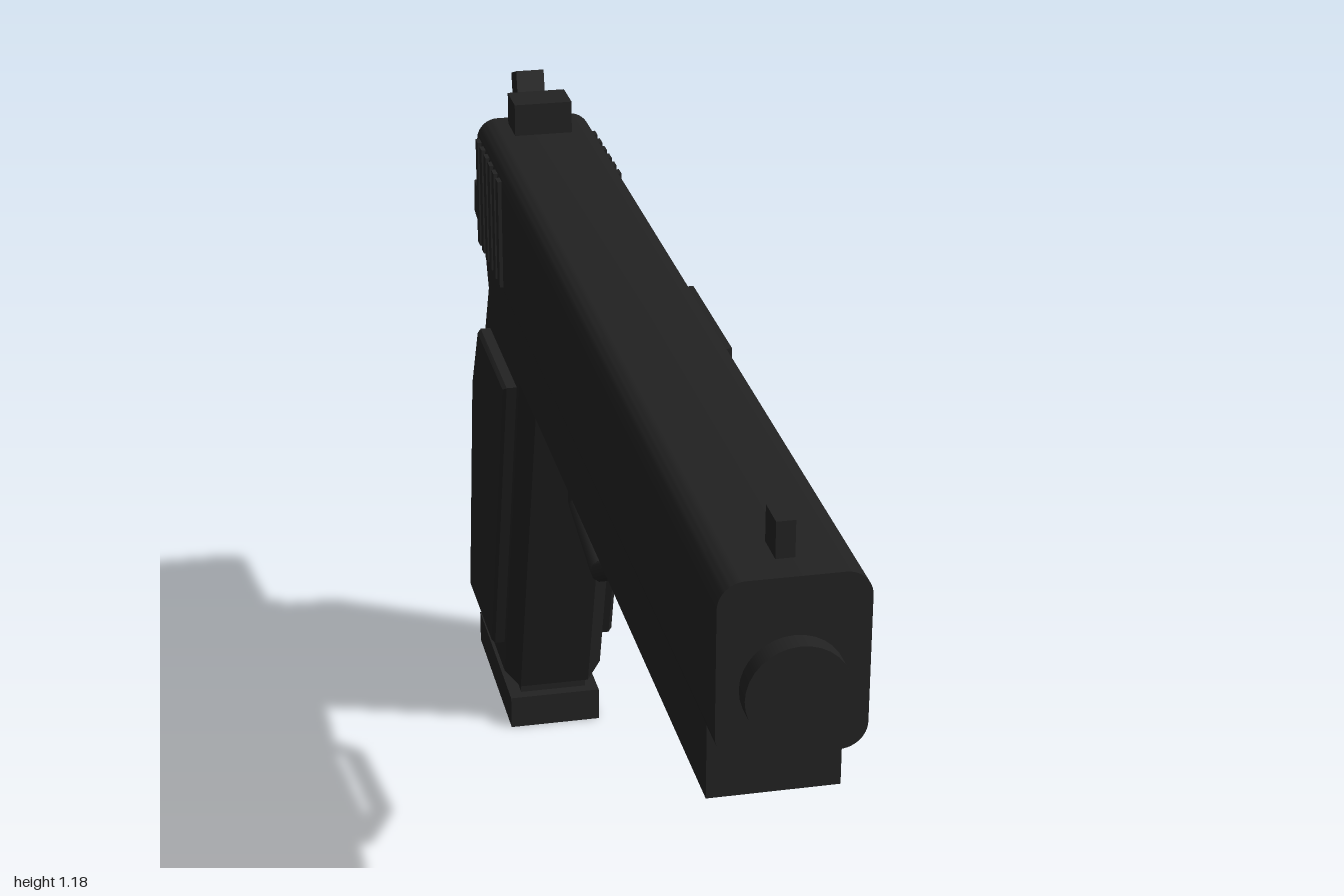
import * as THREE from 'three';
import { toCreasedNormals } from 'three/addons/utils/BufferGeometryUtils.js';

export function createModel() {
  const group = new THREE.Group();
  const darkMetal = new THREE.MeshStandardMaterial({ color: 0x222222 });
  darkMetal.name = 'darkMetal';
  const CX = -0.007; // centre plane of the body

  function add(name, geometry) {
    const mesh = new THREE.Mesh(geometry, darkMetal);
    mesh.name = name;
    group.add(mesh);
    return mesh;
  }

  // Box given by its limits on each axis
  function box(name, x0, x1, y0, y1, z0, z1) {
    const mesh = add(name, new THREE.BoxGeometry(x1 - x0, y1 - y0, z1 - z0));
    mesh.position.set((x0 + x1) / 2, (y0 + y1) / 2, (z0 + z1) / 2);
    return mesh;
  }

  // Side profile of [z, y] points, extruded across x
  function profile(name, points, x0, x1, bevel = 0) {
    const shape = new THREE.Shape(points.map(([z, y]) => new THREE.Vector2(z, y)));
    const depth = x1 - x0 - 2 * bevel;
    const geometry = new THREE.ExtrudeGeometry(shape, {
      depth, bevelEnabled: bevel > 0, bevelThickness: bevel,
      bevelSize: bevel, bevelOffset: -bevel, bevelSegments: 1,
    });
    geometry.translate(0, 0, -depth / 2);
    geometry.rotateY(-Math.PI / 2);
    geometry.translate((x0 + x1) / 2, 0, 0);
    return add(name, geometry);
  }

  // Slide with rounded long edges
  const w = 0.097, h = 0.1225, r = 0.035;
  const section = new THREE.Shape();
  section.moveTo(-w + r, -h);
  section.lineTo(w - r, -h);
  section.absarc(w - r, -h + r, r, -Math.PI / 2, 0);
  section.absarc(w - r, h - r, r, 0, Math.PI / 2);
  section.absarc(-w + r, h - r, r, Math.PI / 2, Math.PI);
  section.absarc(-w + r, -h + r, r, Math.PI, Math.PI * 1.5);
  const slideGeometry = new THREE.ExtrudeGeometry(section, { depth: 1.76, bevelEnabled: false, curveSegments: 6 });
  add('slide', toCreasedNormals(slideGeometry, 0.6)).position.set(CX, 0.9875, -0.79);

  // Muzzle
  const muzzle = add('muzzle', new THREE.CylinderGeometry(0.068, 0.068, 0.06, 32).rotateX(Math.PI / 2));
  muzzle.position.set(CX, 0.963, 0.97);

  // Raised plate on the side and grooved ribs at the rear
  box('ejectionPlate', 0.03, 0.094, 0.975, 1.092, -0.015, 0.23);
  for (let i = 0; i < 6; i++) {
    const z = -0.77 + i * 0.04;
    box('rearRib', -0.11, 0.096, 0.9, 1.083, z, z + 0.022);
  }

  // Sights
  box('frontSight', -0.02, 0.005, 1.09, 1.16, 0.87, 0.92);
  box('rearSight', -0.055, 0.041, 1.09, 1.163, -0.76, -0.692);

  // Hammer and tail
  profile('hammer', [[-0.78, 1.055], [-0.83, 1.035], [-0.862, 1.165], [-0.812, 1.183]], -0.031, 0.016);
  profile('tail', [[-0.72, 0.835], [-0.96, 0.885], [-0.965, 0.89], [-0.953, 0.945], [-0.72, 0.887]], -0.085, 0.071);

  // Frame, grip and side panels
  profile('frame', [[0.89, 0.765], [0.89, 0.872], [-0.785, 0.872], [-0.77, 0.84], [-0.73, 0.765]], -0.095, 0.081);
  profile('grip', [
    [-0.425, 0.8], [-0.66, 0.08], [-0.986, 0.08], [-0.89, 0.62], [-0.775, 0.84], [-0.74, 0.85], [-0.5, 0.85],
  ], -0.095, 0.081, 0.026);
  const panel = [[-0.487, 0.745], [-0.672, 0.168], [-0.922, 0.163], [-0.83, 0.615], [-0.752, 0.745]];
  profile('rightPanel', panel, -0.118, -0.08, 0.006);
  profile('leftPanel', panel, 0.066, 0.102, 0.006);

  // Magazine and its base
  box('magazine', -0.066, 0.052, 0.05, 0.1, -0.97, -0.675);
  box('magazineBase', -0.088, 0.074, 0, 0.06, -1, -0.655);

  // Twin-rod trigger guard, a mitred strip swept by a round section
  const path = [[0.045, 0.79], [0.03, 0.66], [-0.1, 0.588], [-0.285, 0.622], [-0.297, 0.79]]
    .map(([z, y]) => new THREE.Vector3(0, y, z));
  const guardPath = new THREE.CurvePath();
  for (let i = 0; i < path.length - 1; i++) guardPath.add(new THREE.LineCurve3(path[i], path[i + 1]));
  for (const x of [-0.031, 0.017]) {
    const rod = add('guardRod', new THREE.TubeGeometry(guardPath, 80, 0.017, 10));
    rod.position.x = x;
  }

  // Trigger
  profile('trigger', [[-0.18, 0.79], [-0.195, 0.665], [-0.23, 0.67], [-0.22, 0.79]], -0.035, 0.021);

  // Controls on the left side
  profile('slideLever', [[-0.035, 0.84], [-0.06, 0.83], [-0.215, 0.835], [-0.215, 0.895], [-0.07, 0.895], [-0.035, 0.865]], 0.07, 0.106);
  const pin = add('leverPin', new THREE.CylinderGeometry(0.023, 0.023, 0.04, 16).rotateZ(Math.PI / 2));
  pin.position.set(0.095, 0.848, -0.058);
  box('safetyBar', 0.07, 0.1, 0.845, 0.868, -0.78, -0.5);

  return group;
}
